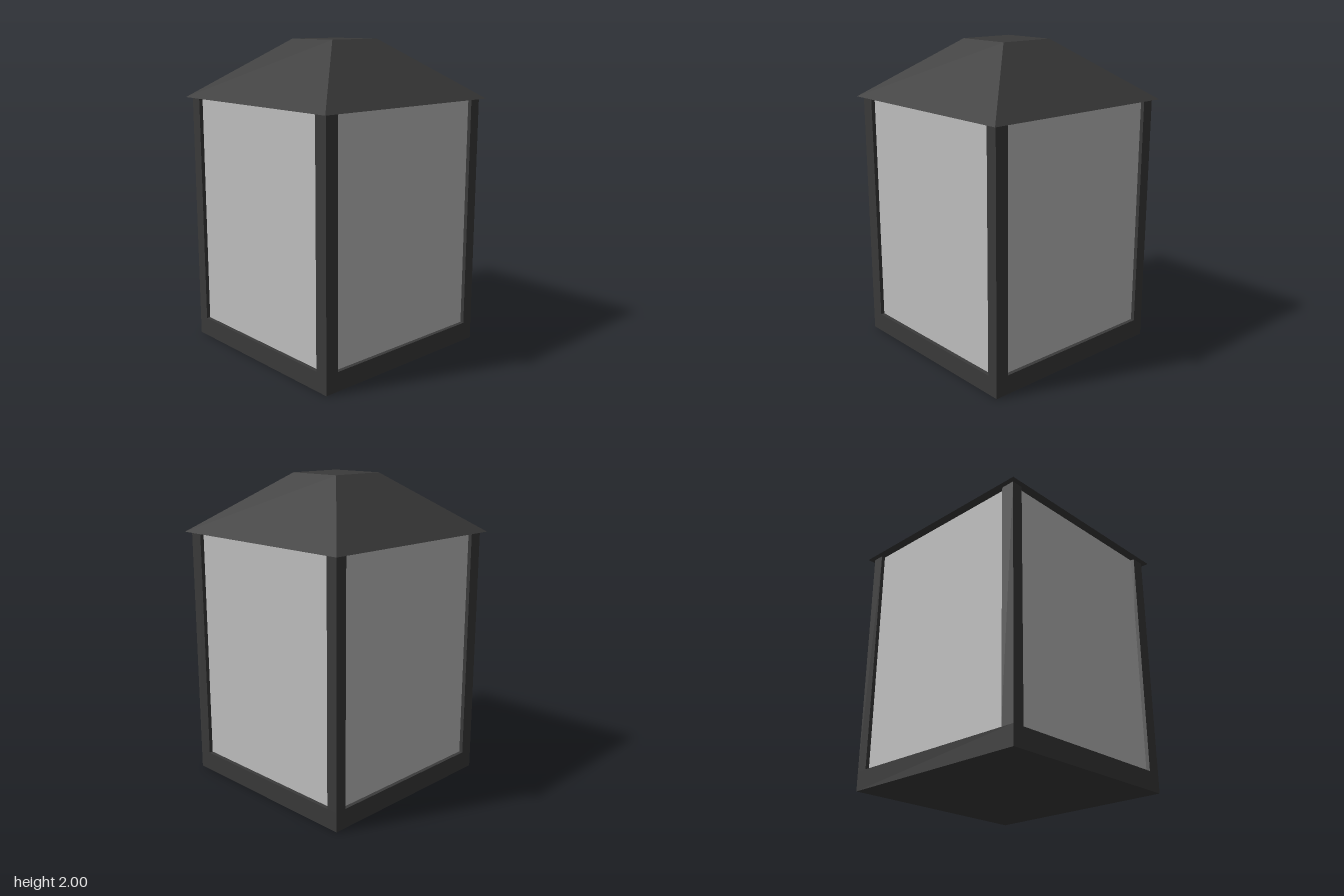
import * as THREE from 'three';

export function createModel() {
  const model = new THREE.Group();
  model.name = 'lantern';
  const metal = new THREE.MeshStandardMaterial({ color: 0x3a3a3a });
  metal.name = 'dark metal';
  const glass = new THREE.MeshStandardMaterial({ color: 0xc0c0c0 });
  glass.name = 'pale glass';

  // Box given by its minimum and maximum corners
  const box = (name, material, [x0, y0, z0], [x1, y1, z1]) => {
    const mesh = new THREE.Mesh(new THREE.BoxGeometry(x1 - x0, y1 - y0, z1 - z0), material);
    mesh.position.set((x0 + x1) / 2, (y0 + y1) / 2, (z0 + z1) / 2);
    mesh.name = name;
    model.add(mesh);
  };

  const baseTop = 0.123, eave = 1.625, outer = 0.653;

  // Base slab
  box('base', metal, [-outer, 0, -outer], [outer, baseTop, outer]);

  // Corner posts, slightly wider on the +x and +z sides
  const spans = [[-outer, -0.578], [0.565, outer]];
  for (const [x0, x1] of spans) {
    for (const [z0, z1] of spans) {
      box('cornerPost', metal, [x0, baseTop, z0], [x1, eave, z1]);
    }
  }

  // Glass panes, set back from the posts
  const recess = 0.628;
  box('glassPanes', glass, [-recess, baseTop, -recess], [recess, eave, recess]);

  // Hipped roof with a flat square top
  const roofGeometry = new THREE.BoxGeometry(1.37, 2 - eave, 1.37).toNonIndexed();
  const p = roofGeometry.attributes.position;
  for (let i = 0; i < p.count; i++) {
    if (p.getY(i) > 0) p.setXYZ(i, Math.sign(p.getX(i)) * 0.19, p.getY(i), Math.sign(p.getZ(i)) * 0.19);
  }
  roofGeometry.computeVertexNormals();
  const roof = new THREE.Mesh(roofGeometry, metal);
  roof.position.y = (2 + eave) / 2;
  roof.name = 'roof';
  model.add(roof);

  return model;
}
